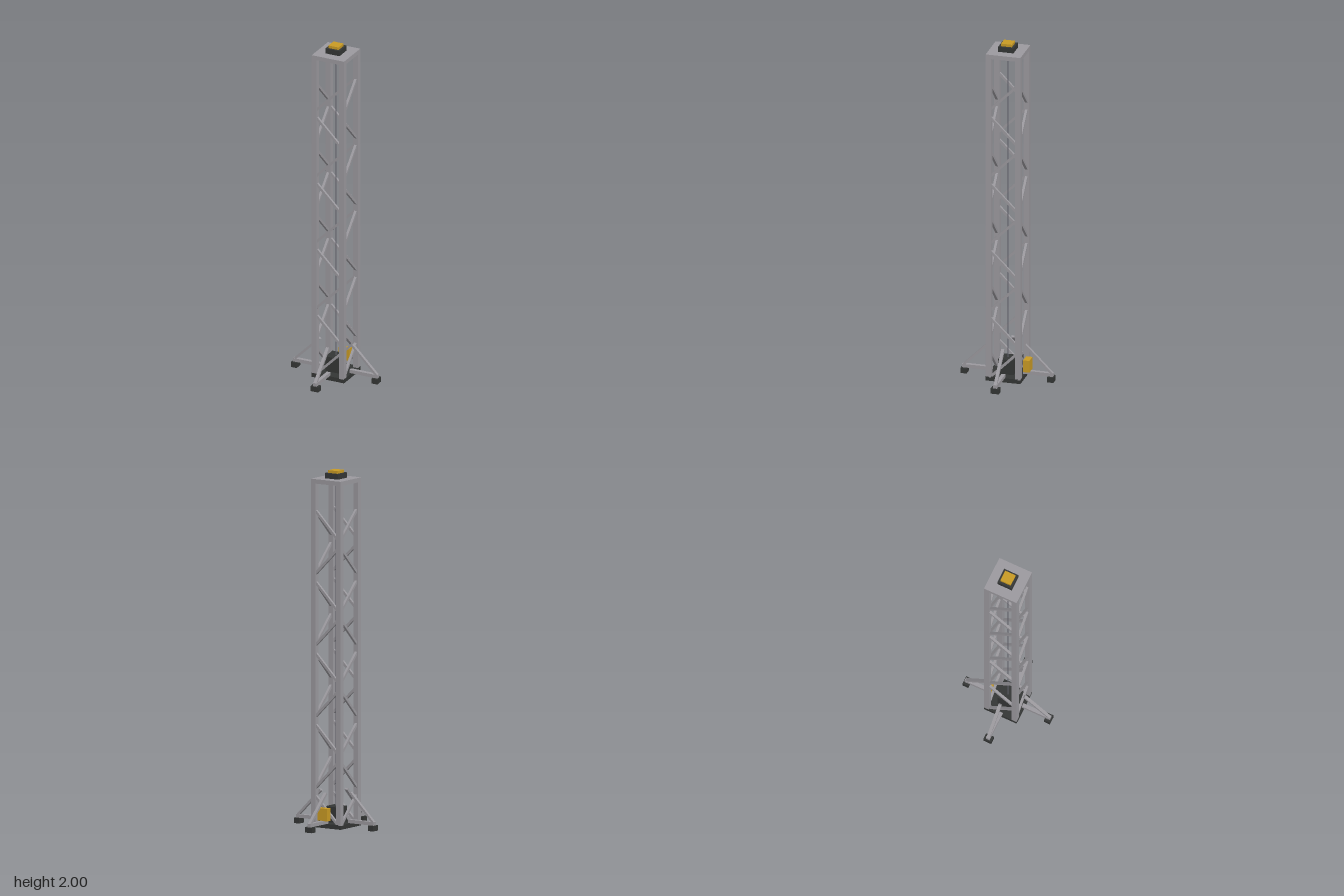
import * as THREE from 'three';

const mat = (name, color) => {
  const m = new THREE.MeshStandardMaterial({ color });
  m.name = name;
  return m;
};

export function createModel() {
  const root = new THREE.Group();
  root.name = 'latticeTower';
  const steel = mat('steelGrey', 0x9b999e);
  const dark = mat('darkRubber', 0x343635);
  const amber = mat('amber', 0xc89a24);
  const cableGrey = mat('cableGrey', 0x62626c);

  const box = (parent, name, material, w, h, d, x, y, z) => {
    const m = new THREE.Mesh(new THREE.BoxGeometry(w, h, d), material);
    m.name = name;
    m.position.set(x, y, z);
    parent.add(m);
    return m;
  };

  // Square bar running between two points
  const bar = (parent, name, a, b, width, thick) => {
    const from = new THREE.Vector3(...a), to = new THREE.Vector3(...b);
    const m = new THREE.Mesh(new THREE.BoxGeometry(width, thick, from.distanceTo(to)), steel);
    m.name = name;
    m.position.copy(from).add(to).multiplyScalar(0.5);
    m.lookAt(to);
    parent.add(m);
  };

  // Base, top plate and stacked cap
  box(root, 'basePlate', dark, 0.2, 0.025, 0.2, 0, 0.0165, 0);
  box(root, 'topPlate', steel, 0.2, 0.025, 0.2, 0, 1.9425, 0);
  box(root, 'capBlock', dark, 0.088, 0.03, 0.088, 0, 1.97, 0);
  box(root, 'capLight', amber, 0.063, 0.015, 0.063, 0, 1.9925, 0);

  // Corner posts
  for (const x of [-1, 1]) for (const z of [-1, 1])
    box(root, 'cornerPost', steel, 0.03, 1.905, 0.03, x * 0.085, 0.9775, z * 0.085);

  // Zigzag lattice: front and back match, the two sides cross
  const lattice = new THREE.Group();
  lattice.name = 'lattice';
  root.add(lattice);
  const e = 0.085;
  for (let i = 0; i < 9; i++) {
    const y = 0.1 + i * 0.2;
    const s = i % 2 ? -e : e;
    for (const f of [-e, e]) {
      bar(lattice, 'frontBackDiagonal', [-s, y - e, f], [s, y + e, f], 0.014, 0.014);
      const t = f > 0 ? -s : s;
      bar(lattice, 'sideDiagonal', [f, y - e, -t], [f, y + e, t], 0.014, 0.014);
    }
  }

  // Central cable
  const cable = new THREE.Mesh(new THREE.CylinderGeometry(0.004, 0.004, 1.9, 8), cableGrey);
  cable.name = 'cable';
  cable.position.y = 0.98;
  root.add(cable);

  // Machinery in the base and control box at the back
  box(root, 'winchHousing', dark, 0.088, 0.09, 0.088, 0, 0.072, 0);
  box(root, 'controlBox', amber, 0.063, 0.07, 0.036, 0, 0.084, -0.114);

  // Four outriggers with braces and pads
  for (let i = 0; i < 4; i++) {
    const leg = new THREE.Group();
    leg.name = 'outrigger';
    leg.rotation.y = i * Math.PI / 2;
    box(leg, 'outriggerBeam', steel, 0.022, 0.02, 0.172, 0, 0.04, 0.176);
    bar(leg, 'outriggerBrace', [0, 0.2, 0.1], [0, 0.045, 0.255], 0.018, 0.013);
    box(leg, 'footPad', dark, 0.048, 0.03, 0.036, 0, 0.015, 0.25);
    root.add(leg);
  }
  return root;
}
